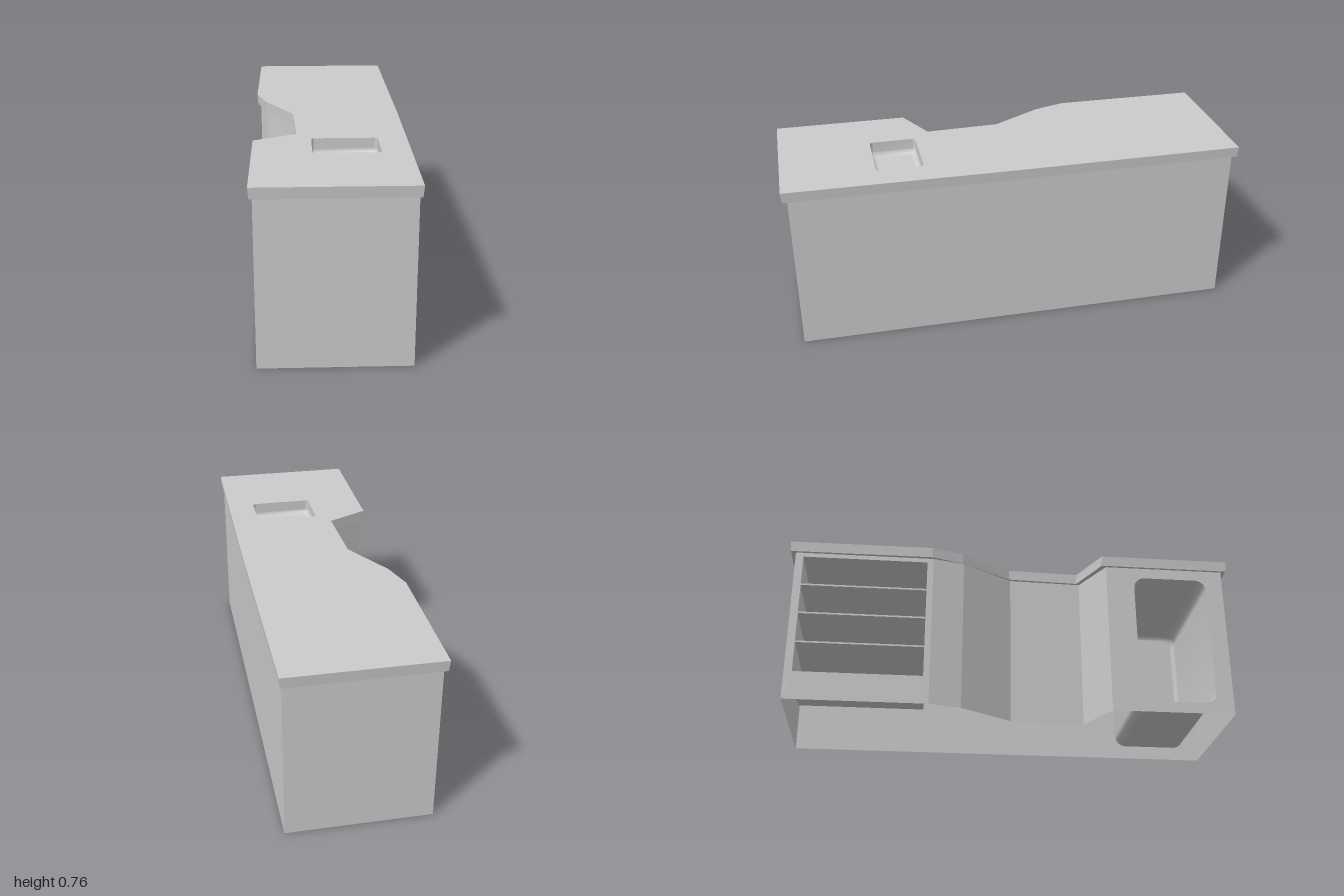
import * as THREE from 'three';
import { toCreasedNormals } from 'three/addons/utils/BufferGeometryUtils.js';

const grey = new THREE.MeshStandardMaterial({ color: 0xcccccc, side: THREE.DoubleSide });
const BODY_H = 0.71, TOP_H = 0.757;

function add(parent, name, geometry, x = 0, y = 0, z = 0) {
  const mesh = new THREE.Mesh(geometry, grey);
  mesh.name = name;
  mesh.position.set(x, y, z);
  parent.add(mesh);
  return mesh;
}

// Points of a rounded rectangle centred on the origin, counterclockwise
function roundedRect(w, h, r, cx = 0, cy = 0) {
  const pts = [], steps = 6;
  [[1, 1], [-1, 1], [-1, -1], [1, -1]].forEach(([sx, sy], k) => {
    for (let i = 0; i <= steps; i++) {
      const a = (k + i / steps) * Math.PI / 2;
      pts.push(new THREE.Vector2(
        cx + sx * (w / 2 - r) + r * Math.cos(a),
        cy + sy * (h / 2 - r) + r * Math.sin(a)));
    }
  });
  return pts;
}

// Open pocket sinking along -z from a rounded opening, with a filleted floor
function pocket(w, h, r, depth, fillet) {
  const rings = [[0, 0]], pos = [], index = [];
  for (let i = 0; i <= 6; i++) {
    const a = i / 6 * Math.PI / 2;
    rings.push([fillet * (1 - Math.cos(a)), -depth + fillet * (1 - Math.sin(a))]);
  }
  let n = 0;
  for (const [inset, z] of rings) {
    const pts = roundedRect(w - 2 * inset, h - 2 * inset, r);
    n = pts.length;
    pts.forEach(p => pos.push(p.x, p.y, z));
  }
  for (let j = 0; j < rings.length - 1; j++) {
    for (let i = 0; i < n; i++) {
      const a = j * n + i, b = j * n + (i + 1) % n;
      index.push(a, a + n, b, b, a + n, b + n);
    }
  }
  // Flat floor as a fan around its centre
  const centre = pos.length / 3, last = (rings.length - 1) * n;
  pos.push(0, 0, -depth);
  for (let i = 0; i < n; i++) index.push(centre, last + i, last + (i + 1) % n);
  const g = new THREE.BufferGeometry();
  g.setAttribute('position', new THREE.Float32BufferAttribute(pos, 3));
  g.setIndex(index);
  return toCreasedNormals(g, 0.6);
}

export function createModel() {
  const model = new THREE.Group();
  model.name = 'counter';

  // Worktop with the sink opening, lower edge slightly drawn in
  const outline = [[0.32, -1], [0.325, 0], [0.32, 1], [-0.325, 1], [-0.325, 0.415], [-0.143, 0.325],
    [-0.155, 0], [-0.285, -0.225], [-0.328, -0.365], [-0.325, -1]];
  const sink = { x: 0.06, z: 0.495, w: 0.28, d: 0.205, r: 0.015 };
  const topShape = new THREE.Shape(outline.map(p => new THREE.Vector2(...p)));
  topShape.holes.push(new THREE.Path(roundedRect(sink.w, sink.d, sink.r, sink.x, sink.z)));
  const drop = TOP_H - BODY_H;
  const slab = new THREE.ExtrudeGeometry(topShape, { depth: drop, bevelEnabled: false });
  slab.rotateX(Math.PI / 2);
  const p = slab.attributes.position;
  for (let i = 0; i < p.count; i++) {
    const x = p.getX(i), z = p.getZ(i);
    const inSink = x > -0.1 && x < 0.22 && z > 0.35 && z < 0.62;
    if (p.getY(i) < -drop / 2 && !inSink) p.setXYZ(i, x * 0.988, -drop, z * 0.996);
  }
  slab.computeVertexNormals();
  add(model, 'worktop', slab, 0, TOP_H, 0);

  const basin = pocket(sink.w, sink.d, sink.r, 0.07, 0.025);
  basin.rotateX(-Math.PI / 2);
  add(model, 'sinkBasin', basin, sink.x, TOP_H, sink.z);

  // Cabinet walls around the footprint, open underneath
  const foot = [[-0.31, 0.975], [0.308, 0.975], [0.308, -0.975], [-0.31, -0.975], [-0.31, -0.358],
    [-0.277, -0.218], [-0.14, 0.008], [-0.13, 0.337], [-0.31, 0.435]];
  const bay = { z0: -0.94, z1: -0.385, y0: 0.128, y1: 0.69, x0: -0.31, x1: 0.05 };
  const niche = { z: 0.73, y: 0.355, w: 0.335, h: 0.61, r: 0.05 };
  const body = new THREE.Group();
  body.name = 'cabinet';
  model.add(body);
  foot.forEach(([x, z], i) => {
    const [x2, z2] = foot[(i + 1) % foot.length];
    const len = Math.hypot(x2 - x, z2 - z);
    const wall = new THREE.Shape([[0, 0], [len, 0], [len, BODY_H], [0, BODY_H]].map(q => new THREE.Vector2(...q)));
    if (i === 3) {
      wall.holes.push(new THREE.Path([[bay.z0, bay.y0], [bay.z1, bay.y0], [bay.z1, bay.y1], [bay.z0, bay.y1]]
        .map(([u, v]) => new THREE.Vector2(u - z, v))));
    }
    if (i === 8) wall.holes.push(new THREE.Path(roundedRect(niche.w, niche.h, niche.r, niche.z - z, niche.y)));
    add(body, 'wall' + (i + 1), new THREE.ShapeGeometry(wall), x, 0, z).rotation.y = Math.atan2(z - z2, x2 - x);
  });

  // Rounded niche in the right side
  const nicheShell = pocket(niche.w, niche.h, niche.r, 0.6, 0.02);
  nicheShell.rotateY(-Math.PI / 2);
  add(model, 'niche', nicheShell, -0.31, niche.y, niche.z);

  // Shelf bay: floor, shelves and ceiling, then sides and back
  const shelves = new THREE.Group();
  shelves.name = 'shelfBay';
  model.add(shelves);
  const w = bay.x1 - bay.x0, d = bay.z1 - bay.z0, h = bay.y1 - bay.y0, t = 0.008;
  const cx = (bay.x0 + bay.x1) / 2, cy = (bay.y0 + bay.y1) / 2, cz = (bay.z0 + bay.z1) / 2;
  for (let i = 0; i <= 4; i++) {
    const shift = i === 0 ? -t / 2 : i === 4 ? t / 2 : 0;
    add(shelves, 'shelf' + (i + 1), new THREE.BoxGeometry(w, t, d), cx, bay.y0 + h * i / 4 + shift, cz);
  }
  for (const s of [-1, 1]) {
    add(shelves, 'baySide', new THREE.BoxGeometry(w, h + 2 * t, t), cx, cy, cz + s * (d + t) / 2);
  }
  add(shelves, 'bayBack', new THREE.BoxGeometry(t, h + 2 * t, d + 2 * t), bay.x1 + t / 2, cy, cz);

  return model;
}
